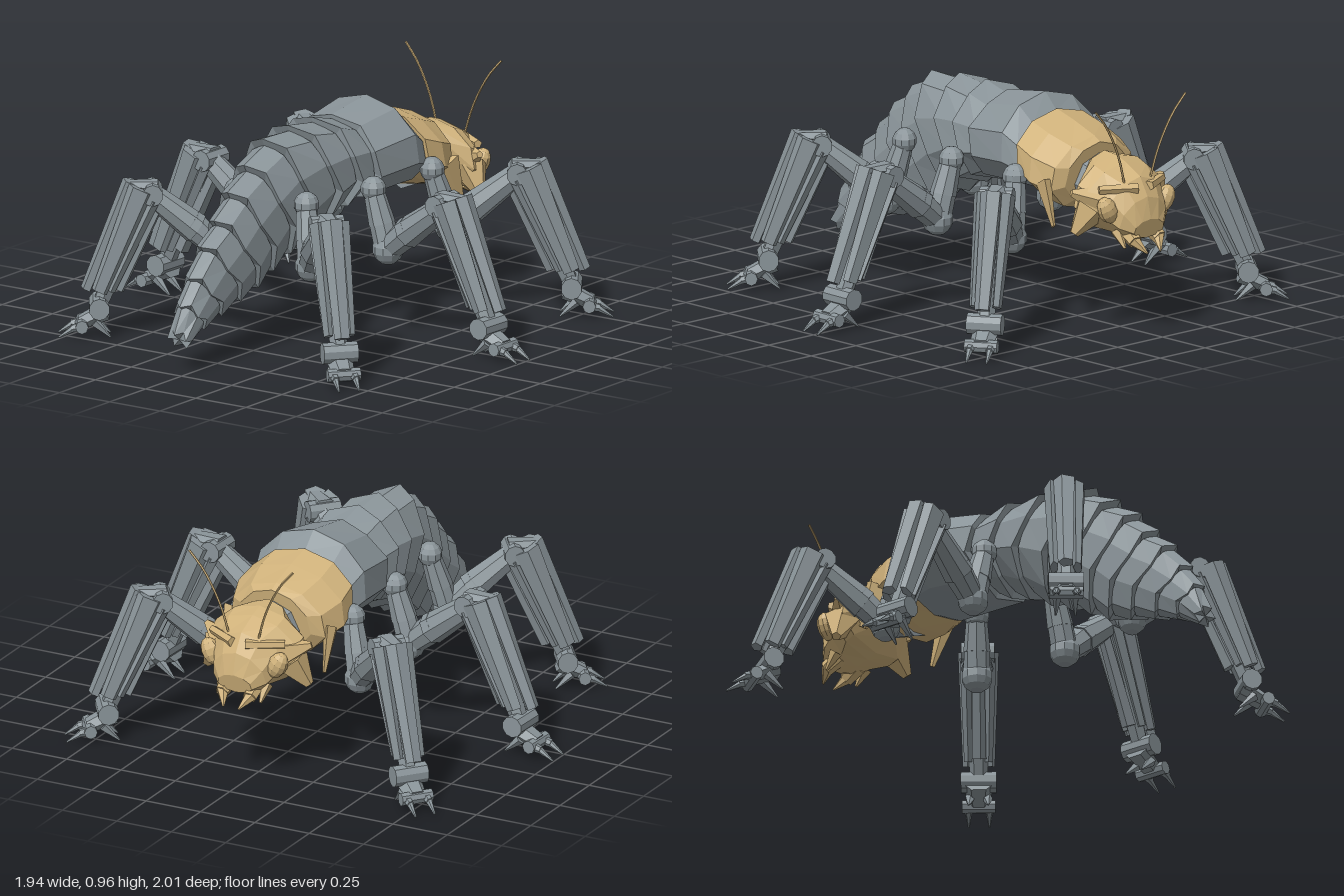
import * as THREE from 'three';

const mat = (name, color) => {
  const m = new THREE.MeshStandardMaterial({ color, flatShading: true });
  m.name = name;
  return m;
};
const V = (x, y, z = 0) => new THREE.Vector3(x, y, z);

function add(parent, name, geo, material) {
  const mesh = new THREE.Mesh(geo, material);
  mesh.name = name;
  parent.add(mesh);
  return mesh;
}

// Tapered bar from a to b; flatX and flatZ squash its section
function rod(parent, name, material, a, b, ra, rb, sides = 8, flatX = 1, flatZ = 1) {
  const dir = b.clone().sub(a);
  const mesh = add(parent, name, new THREE.CylinderGeometry(rb, ra, dir.length(), sides), material);
  mesh.position.copy(a).add(b).multiplyScalar(0.5);
  mesh.quaternion.setFromUnitVectors(V(0, 1, 0), dir.normalize());
  mesh.scale.set(flatX, 1, flatZ);
}

function ball(parent, name, material, p, r, sx = 1, sy = 1, sz = 1) {
  const mesh = add(parent, name, new THREE.SphereGeometry(r, 10, 7), material);
  mesh.position.copy(p);
  mesh.scale.set(sx, sy, sz);
  return mesh;
}

// Cross-section: top point, bottom point, half width; flare widens the lower half,
// jag pushes alternate corners back
function ring(top, bottom, w, flare = 0, scale = 1, jag = 0) {
  const c = top.clone().add(bottom).multiplyScalar(0.5);
  const n = top.clone().sub(c).multiplyScalar(scale);
  const back = V(-n.y, n.x).normalize();
  return Array.from({ length: 10 }, (_, j) => {
    const a = (j / 10) * Math.PI * 2;
    const p = c.clone().addScaledVector(n, Math.cos(a)).addScaledVector(back, j % 2 ? -jag : jag);
    p.z = Math.sin(a) * w * scale * (1 - flare * Math.cos(a));
    return p;
  });
}

// Skin rings running from front to back, with closed ends
function loft(rings) {
  const pos = [];
  const tri = (...ps) => ps.forEach(p => pos.push(p.x, p.y, p.z));
  const n = rings[0].length;
  const mid = r => r.reduce((s, p) => s.add(p), V(0, 0)).divideScalar(n);
  const first = rings[0], last = rings[rings.length - 1];
  const c0 = mid(first), c1 = mid(last);
  for (let j = 0; j < n; j++) {
    const k = (j + 1) % n;
    tri(c0, first[j], first[k]);
    tri(c1, last[k], last[j]);
    for (let i = 0; i + 1 < rings.length; i++) {
      const a = rings[i], b = rings[i + 1];
      tri(a[j], b[j], a[k]);
      tri(a[k], b[j], b[k]);
    }
  }
  const g = new THREE.BufferGeometry();
  g.setAttribute('position', new THREE.Float32BufferAttribute(pos, 3));
  g.computeVertexNormals();
  return g;
}

// One jointed leg in its own plane: x outward, y up
function makeLeg(name, gray, x, z, dx, dz, size) {
  const leg = new THREE.Group();
  leg.name = name;
  leg.position.set(x, 0, z);
  leg.rotation.y = Math.atan2(-dz, dx);
  leg.scale.set(size, 1, 1);
  const hip = V(0, 0.61), low = V(0.075, 0.37), knee = V(0.37, 0.6), ankle = V(0.59, 0.13);
  ball(leg, 'hipJoint', gray, hip, 0.053);
  rod(leg, 'upperCoxa', gray, hip, V(0.045, 0.47), 0.042, 0.055);
  rod(leg, 'lowerCoxa', gray, V(0.04, 0.49), low, 0.052, 0.055);
  ball(leg, 'coxaJoint', gray, low, 0.065);
  rod(leg, 'innerThigh', gray, low, V(0.2, 0.475), 0.052, 0.063);
  rod(leg, 'outerThigh', gray, V(0.17, 0.45), knee, 0.066, 0.048);
  rod(leg, 'kneePin', gray, V(0.36, 0.605, -0.068), V(0.36, 0.605, 0.068), 0.045, 0.045, 10);

  // Shin: a core bar wrapped by long armour slats, widest below the knee
  rod(leg, 'shinCore', gray, V(0.37, 0.62), ankle, 0.05, 0.036, 6);
  rod(leg, 'outerSlat', gray, V(0.455, 0.65), V(0.645, 0.2), 0.036, 0.026, 5, 1, 1.3);
  rod(leg, 'innerSlat', gray, V(0.33, 0.56), V(0.51, 0.2), 0.026, 0.032, 5);
  rod(leg, 'kneeCap', gray, V(0.34, 0.63), V(0.47, 0.635), 0.034, 0.024, 6, 0.8, 1.6);
  for (const s of [-1, 1]) {
    rod(leg, 'sideSlat', gray, V(0.41, 0.63, s * 0.055), V(0.59, 0.2, s * 0.048), 0.042, 0.026, 5, 1.4, 0.7);
    rod(leg, 'rearSlat', gray, V(0.355, 0.58, s * 0.048), V(0.54, 0.2, s * 0.04), 0.026, 0.018, 4);
  }

  // Foot with ankle drums, two front claws and two heel claws
  rod(leg, 'anklePin', gray, V(0.59, 0.13, -0.072), V(0.59, 0.13, 0.072), 0.045, 0.045, 10);
  rod(leg, 'footBar', gray, V(0.56, 0.11), V(0.67, 0.06), 0.04, 0.03, 6, 1, 1.5);
  rod(leg, 'toePin', gray, V(0.665, 0.055, -0.068), V(0.665, 0.055, 0.068), 0.028, 0.028, 8);
  for (const s of [-1, 1]) {
    rod(leg, 'toe', gray, V(0.65, 0.056, s * 0.042), V(0.71, 0.045, s * 0.042), 0.022, 0.016, 6);
    rod(leg, 'claw', gray, V(0.7, 0.047, s * 0.042), V(0.765, 0.008, s * 0.042), 0.015, 0.004, 6);
    rod(leg, 'heelClaw', gray, V(0.61, 0.07, s * 0.035), V(0.54, 0.008, s * 0.04), 0.022, 0.004, 5);
  }
  return leg;
}

export function createModel() {
  const gray = mat('steel gray', 0x8a9499);
  const tan = mat('sand tan', 0xd0b27b);
  const model = new THREE.Group();
  model.name = 'insectRobot';
  model.rotation.y = -0.035;
  const body = new THREE.Group();
  body.name = 'body';
  body.position.z = -0.02;
  model.add(body);

  // Overlapping armour shells: top x, y, bottom x, y, half width
  const st = [
    [0.30, 0.905, 0.33, 0.52, 0.262], [0.08, 0.87, 0.10, 0.51, 0.235], [-0.05, 0.885, 0.02, 0.49, 0.215],
    [-0.21, 0.885, -0.07, 0.46, 0.195], [-0.38, 0.865, -0.18, 0.40, 0.165], [-0.5, 0.78, -0.28, 0.35, 0.138],
    [-0.61, 0.69, -0.38, 0.30, 0.12], [-0.70, 0.59, -0.47, 0.25, 0.105], [-0.79, 0.50, -0.58, 0.22, 0.09],
    [-0.87, 0.385, -0.70, 0.19, 0.077], [-0.93, 0.28, -0.81, 0.16, 0.065], [-0.965, 0.17, -0.92, 0.105, 0.05],
  ];
  const section = (i, scale, jag) => {
    const [tx, ty, bx, by, w] = st[i];
    return ring(V(tx, ty), V(bx, by), w, 0.08, scale, jag);
  };
  add(body, 'thorax', loft([
    ring(V(0.44, 0.78), V(0.44, 0.53), 0.2), ring(V(0.37, 0.835), V(0.41, 0.52), 0.24, 0.08),
    section(0, 1, 0), section(1, 1, 0.012),
  ]), gray);
  for (let i = 1; i + 1 < st.length; i++)
    add(body, 'abdomenShell', loft([section(i, 0.88, 0), section(i + 1, 1.02, 0.014)]), gray);

  // Collar and neck
  add(body, 'collar', loft([
    ring(V(0.635, 0.755), V(0.6, 0.5), 0.17, 0.15), ring(V(0.6, 0.775), V(0.575, 0.47), 0.225, 0.12),
    ring(V(0.48, 0.815), V(0.5, 0.49), 0.262, 0.1), ring(V(0.37, 0.845), V(0.42, 0.53), 0.25, 0.08),
  ]), tan);
  rod(body, 'neck', gray, V(0.55, 0.6), V(0.69, 0.58), 0.14, 0.09);

  // Head, broad and low at the cheeks
  add(body, 'head', loft([
    ring(V(0.945, 0.49), V(0.925, 0.41), 0.08, 0.1), ring(V(0.925, 0.58), V(0.875, 0.395), 0.125, 0.15),
    ring(V(0.88, 0.655), V(0.82, 0.405), 0.15, 0.1), ring(V(0.79, 0.7), V(0.765, 0.42), 0.22, 0.15),
    ring(V(0.73, 0.72), V(0.725, 0.44), 0.225, 0.15), ring(V(0.66, 0.725), V(0.68, 0.5), 0.115),
    ring(V(0.61, 0.69), V(0.63, 0.53), 0.075),
  ]), tan);
  for (const s of [-1, 1]) {
    rod(body, 'collarLobe', tan, V(0.53, 0.6, s * 0.215), V(0.615, 0.435, s * 0.235), 0.075, 0.02, 5, 1, 0.4);
    rod(body, 'cheekFlare', tan, V(0.79, 0.56, s * 0.13), V(0.735, 0.6, s * 0.245), 0.07, 0.015, 5);
    rod(body, 'cheekCorner', tan, V(0.77, 0.53, s * 0.17), V(0.745, 0.43, s * 0.24), 0.075, 0.02, 5);
    rod(body, 'brow', tan, V(0.9, 0.615, s * 0.03), V(0.82, 0.615, s * 0.17), 0.022, 0.018, 5);
    const eye = ball(body, 'eye', tan, V(0.855, 0.535, s * 0.155), 0.05, 0.75, 1.2, 0.85);
    eye.rotation.x = s * 0.5;
    rod(body, 'mandibleBase', tan, V(0.86, 0.44, s * 0.06), V(0.925, 0.4, s * 0.065), 0.038, 0.03, 6);
    rod(body, 'mandibleTip', tan, V(0.915, 0.405, s * 0.065), V(0.965, 0.355, s * 0.035), 0.028, 0.004, 6);
    rod(body, 'palp', tan, V(0.85, 0.44, s * 0.1), V(0.9, 0.375, s * 0.1), 0.028, 0.006, 5);
    const curve = new THREE.CatmullRomCurve3([
      V(0.86, 0.6, s * 0.06), V(0.868, 0.76, s * 0.11), V(0.875, 0.89, s * 0.18), V(0.88, 0.965, s * 0.245)]);
    add(body, 'antenna', new THREE.TubeGeometry(curve, 10, 0.005, 5), tan);
  }

  // Three pairs of legs
  for (const s of [-1, 1]) {
    const side = s > 0 ? 'left' : 'right';
    model.add(makeLeg(side + 'FrontLeg', gray, 0.405, s * 0.25 - 0.015, 0.59, s * 0.81, 0.96));
    model.add(makeLeg(side + 'MiddleLeg', gray, 0.015, s * 0.235, 0.0, s, 1));
    model.add(makeLeg(side + 'HindLeg', gray, -0.345, s * 0.18 - 0.01, -0.62, s * 0.78, 0.94));
  }
  return model;
}
